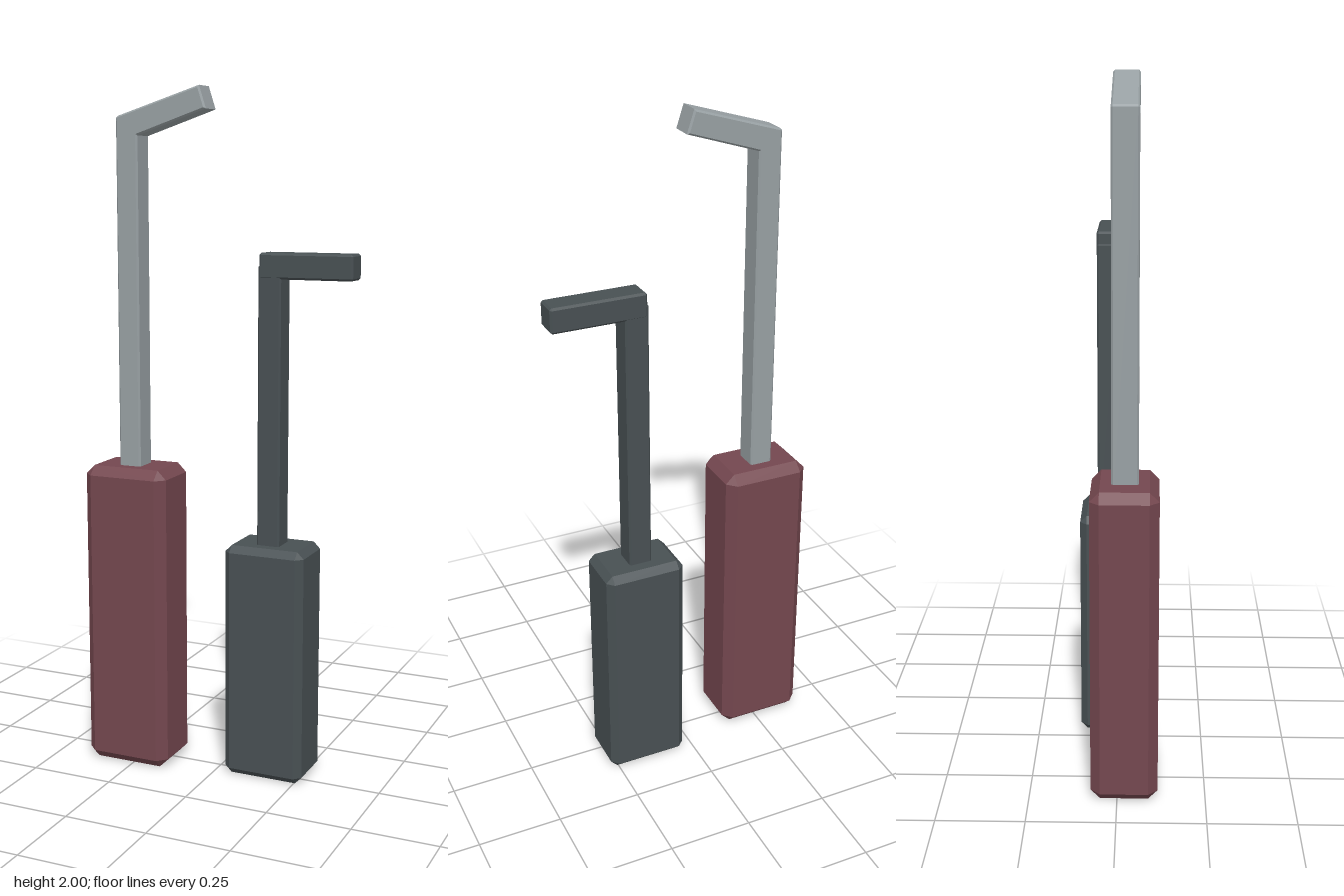
import * as THREE from 'three';
import { ConvexGeometry } from 'three/addons/geometries/ConvexGeometry.js';

// Box between two corners with every edge cut by a flat chamfer c
function chamferBox(min, max, c) {
  const mid = min.map((v, i) => (v + max[i]) / 2);
  const half = min.map((v, i) => (max[i] - v) / 2);
  const points = [];
  for (const sx of [-1, 1]) for (const sy of [-1, 1]) for (const sz of [-1, 1]) {
    const s = [sx, sy, sz];
    for (let face = 0; face < 3; face++) {
      points.push(new THREE.Vector3(...s.map((sign, i) =>
        mid[i] + sign * (half[i] - (i === face ? 0 : c)))));
    }
  }
  return new ConvexGeometry(points);
}

export function createModel() {
  const model = new THREE.Group();
  const red = new THREE.MeshStandardMaterial({ color: 0x74474f });
  red.name = 'dull red';
  const steel = new THREE.MeshStandardMaterial({ color: 0x98a0a3 });
  steel.name = 'steel grey';
  const dark = new THREE.MeshStandardMaterial({ color: 0x485053 });
  dark.name = 'dark grey';

  function add(parent, name, geometry, material) {
    const mesh = new THREE.Mesh(geometry, material);
    mesh.name = name;
    parent.add(mesh);
  }

  // Tall tool: red handle and a mitred steel rod with a rising tip
  const tall = new THREE.Group();
  tall.name = 'tallTool';
  add(tall, 'tallHandle', chamferBox([-0.398, 0, -0.075], [-0.136, 0.912, 0.115], 0.027), red);
  const outline = new THREE.Shape([
    [-0.303, 0.86], [-0.235, 0.86], [-0.235, 1.866], [-0.022, 1.936],
    [-0.043, 2.0], [-0.298, 1.921], [-0.303, 1.915],
  ].map(([x, y]) => new THREE.Vector2(x, y)));
  const bevel = 0.005;
  const rod = new THREE.ExtrudeGeometry(outline, {
    depth: 0.075 - 2 * bevel, bevelEnabled: true, bevelSegments: 1,
    bevelSize: bevel, bevelThickness: bevel, bevelOffset: -bevel,
  });
  rod.translate(0, 0, -0.017 + bevel);
  add(tall, 'tallBentRod', rod, steel);

  // Short tool: dark handle, straight shaft and level tip
  const short = new THREE.Group();
  short.name = 'shortTool';
  add(short, 'shortHandle', chamferBox([0.03, 0, -0.12], [0.273, 0.7, 0.055], 0.02), dark);
  add(short, 'shortShaft', chamferBox([0.115, 0.65, -0.069], [0.184, 1.508, 0.005], 0.005), dark);
  add(short, 'shortTip', chamferBox([0.118, 1.469, -0.07], [0.395, 1.542, 0.006], 0.006), dark);

  model.add(tall, short);
  return model;
}
